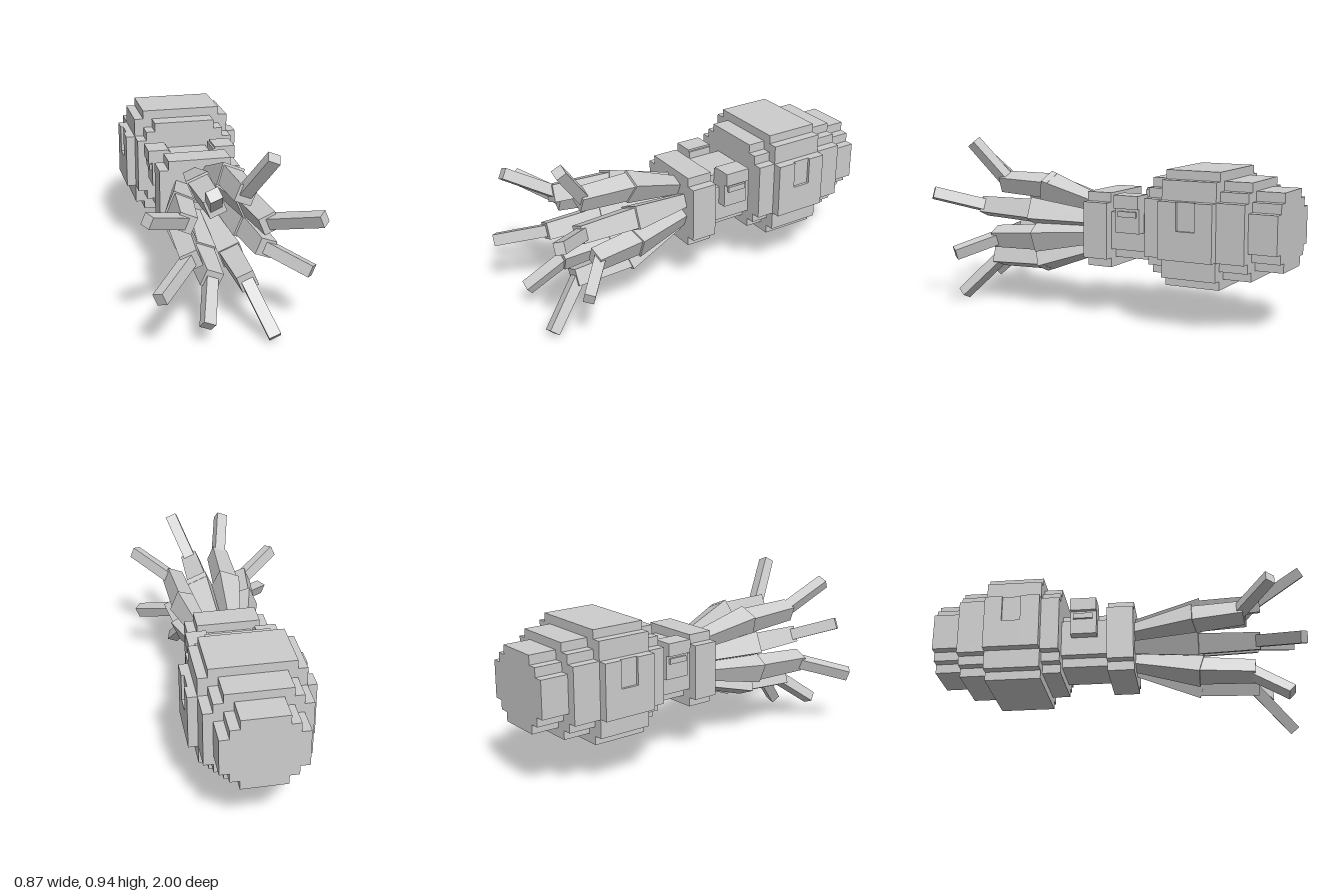
import * as THREE from 'three';

const CX = 0.01;

export function createModel() {
  const model = new THREE.Group();
  model.name = 'tentacledCreature';
  const grey = new THREE.MeshStandardMaterial({ color: 0xcccccc });
  grey.name = 'plain grey';

  function box(parent, name, x0, x1, y0, y1, z0, z1) {
    const m = new THREE.Mesh(new THREE.BoxGeometry(x1 - x0, y1 - y0, z1 - z0), grey);
    m.position.set((x0 + x1) / 2, (y0 + y1) / 2, (z0 + z1) / 2);
    m.name = name;
    parent.add(m);
    return m;
  }

  // Slab with stepped corners: outline given as [half width, half height] from wide to tall
  function steppedSlab(name, cy, z0, z1, steps) {
    const pts = [];
    steps.forEach(([w, h], i) => {
      if (i > 0) pts.push([w, steps[i - 1][1]]);
      pts.push([w, h]);
    });
    const rev = pts.slice().reverse();
    const outline = [
      ...pts,
      ...rev.map(([x, y]) => [-x, y]),
      ...pts.map(([x, y]) => [-x, -y]),
      ...rev.map(([x, y]) => [x, -y]),
    ].map(([x, y]) => new THREE.Vector2(x, y));
    const geo = new THREE.ExtrudeGeometry(new THREE.Shape(outline), { depth: z1 - z0, bevelEnabled: false });
    const m = new THREE.Mesh(geo, grey);
    m.position.set(CX, cy, z0);
    m.name = name;
    model.add(m);
  }

  // Mantle and neck
  steppedSlab('mantleRear', 0.54, -1, -0.84, [[0.22, 0.1], [0.17, 0.15], [0.12, 0.2]]);
  steppedSlab('mantleBody', 0.538, -0.85, -0.305, [[0.27, 0.15], [0.22, 0.2], [0.17, 0.248]]);
  steppedSlab('mantleBulge', 0.538, -0.7, -0.403, [[0.305, 0.148], [0.27, 0.25], [0.22, 0.297]]);
  steppedSlab('neck', 0.49, -0.31, -0.05, [[0.17, 0.1], [0.12, 0.15]]);
  steppedSlab('collar', 0.49, -0.055, 0.087, [[0.22, 0.15], [0.17, 0.2]]);

  // Mirrored side plates with a notch, and eyes
  for (const s of [-1, 1]) {
    const side = new THREE.Group();
    side.name = s > 0 ? 'leftSide' : 'rightSide';
    side.position.x = CX;
    model.add(side);
    const add = (name, a, b, ...r) => box(side, name, Math.min(s * a, s * b), Math.max(s * a, s * b), ...r);
    add('sidePlateFront', 0.3, 0.32, 0.39, 0.686, -0.505, -0.403);
    add('sidePlateRear', 0.3, 0.32, 0.39, 0.686, -0.7, -0.605);
    add('sidePlateLower', 0.3, 0.32, 0.39, 0.54, -0.605, -0.505);
    add('eye', 0.12, 0.222, 0.49, 0.68, -0.25, -0.11);
    add('eyelid', 0.13, 0.243, 0.62, 0.69, -0.25, -0.11);
    add('pupil', 0.2, 0.235, 0.575, 0.605, -0.235, -0.13);
  }

  // Tapered bar in the radial (y, z) plane, from a to b, with [width, thickness] at each end
  function bar(parent, name, a, b, sa, sb) {
    const dy = b[0] - a[0], dz = b[1] - a[1];
    const geo = new THREE.BoxGeometry(1, 1, Math.hypot(dy, dz));
    const p = geo.attributes.position;
    for (let i = 0; i < p.count; i++) {
      const s = p.getZ(i) < 0 ? sa : sb;
      p.setX(i, p.getX(i) * s[0]);
      p.setY(i, p.getY(i) * s[1]);
    }
    geo.computeVertexNormals();
    const m = new THREE.Mesh(geo, grey);
    m.position.set(0, (a[0] + b[0]) / 2, (a[1] + b[1]) / 2);
    m.rotation.x = -Math.atan2(dy, dz);
    m.name = name;
    parent.add(m);
  }

  // Tentacles: [angle, knee radius, knee z, elbow radius, elbow z, tip radius, tip z]
  const tentacles = [
    [22.5, 0.19, 0.44, 0.21, 0.75, 0.43, 0.95],
    [67.5, 0.225, 0.41, 0.23, 0.69, 0.475, 0.83],
    [112.5, 0.195, 0.45, 0.21, 0.76, 0.37, 0.985],
    [157.5, 0.19, 0.41, 0.22, 0.67, 0.45, 0.81],
    [202.5, 0.19, 0.44, 0.21, 0.75, 0.42, 0.96],
    [247.5, 0.2, 0.44, 0.22, 0.72, 0.385, 0.9],
    [292.5, 0.228, 0.44, 0.24, 0.74, 0.48, 0.92],
    [337.5, 0.19, 0.42, 0.22, 0.67, 0.43, 0.81],
  ];
  for (const [deg, r1, z1, r2, z2, r3, z3] of tentacles) {
    const t = new THREE.Group();
    t.name = 'tentacle';
    t.position.set(CX, 0.49, 0);
    t.rotation.z = THREE.MathUtils.degToRad(deg - 90);
    bar(t, 'upperSegment', [0.115, 0.07], [r1, z1], [0.068, 0.07], [0.122, 0.12]);
    bar(t, 'middleSegment', [r1 - 0.005, z1 - 0.05], [r2, z2], [0.11, 0.1], [0.09, 0.09]);
    bar(t, 'tipSegment', [r2, z2 - 0.03], [r3, z3], [0.062, 0.06], [0.062, 0.056]);
    model.add(t);
  }
  return model;
}
